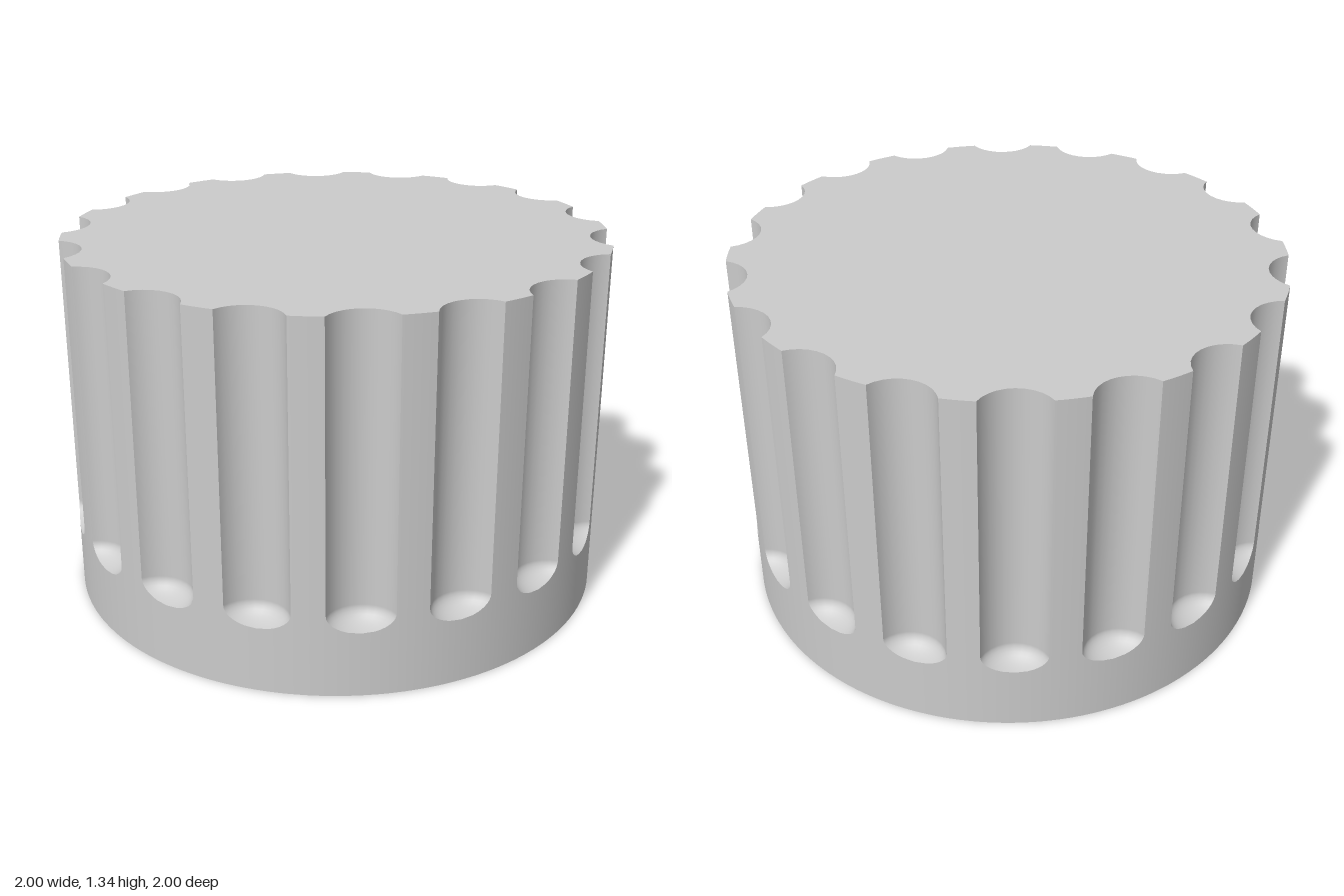
import * as THREE from 'three';
import { mergeGeometries } from 'three/addons/utils/BufferGeometryUtils.js';

const COUNT = 18, STEP = (2 * Math.PI) / COUNT;
const TOP = 1.335;              // knob height, outer radius is 1
const C = 1.0534, R = 0.1314;   // flute axis distance and flute radius
const END = 0.305, RY = 0.0711; // height where the rounded flute end starts, and its depth
const T_MAX = Math.acos((C - 1) / R);
const ROWS = 8, ARC = 10;

// Angle at which a flute section of radius rho meets the outer wall
const rimAngle = (rho) => Math.acos(Math.min(1, (1 + C * C - rho * rho) / (2 * C)));
const EDGE = rimAngle(R);

// Surface from rows (downwards) and columns (left to right); fn gives [position, normal]
function grid(rows, cols, fn) {
  const pos = [], nor = [], idx = [];
  for (let i = 0; i <= rows; i++) {
    for (let j = 0; j <= cols; j++) {
      const [p, n] = fn(i, j);
      pos.push(...p);
      nor.push(...new THREE.Vector3(...n).normalize().toArray());
      if (i < rows && j < cols) {
        const a = i * (cols + 1) + j, b = a + cols + 1;
        idx.push(a, b, a + 1, b, b + 1, a + 1);
      }
    }
  }
  const g = new THREE.BufferGeometry();
  g.setAttribute('position', new THREE.Float32BufferAttribute(pos, 3));
  g.setAttribute('normal', new THREE.Float32BufferAttribute(nor, 3));
  g.setIndex(idx);
  return g;
}

const wallPoint = (a, y) => [[Math.sin(a), y, Math.cos(a)], [Math.sin(a), 0, Math.cos(a)]];

// Point across a flute section, u from -1 to 1
function arcPoint(rho, u) {
  const a = rimAngle(rho);
  const b = u * Math.atan2(Math.sin(a), C - Math.cos(a));
  return [rho * Math.sin(b), C - rho * Math.cos(b)];
}

// Repeat a geometry around the knob
function around(geometry) {
  const copies = [];
  for (let k = 0; k < COUNT; k++) copies.push(geometry.clone().rotateY(k * STEP));
  return mergeGeometries(copies);
}

export function createModel() {
  const group = new THREE.Group();
  const material = new THREE.MeshStandardMaterial({ color: 0xcccccc });
  const add = (name, geometry) => {
    const mesh = new THREE.Mesh(geometry, material);
    mesh.name = name;
    group.add(mesh);
    return mesh;
  };

  // Flute: straight channel with a scooped lower end
  const flute = grid(ROWS + 1, ARC, (i, j) => {
    const t = (Math.max(0, i - 1) / ROWS) * T_MAX;
    const [x, z] = arcPoint(R * Math.cos(t), (2 * j) / ARC - 1);
    const drop = RY * Math.sin(t);
    const y = i === 0 ? TOP : END - drop;
    return [[x, y, z], [-x / R ** 2, drop / RY ** 2, (C - z) / R ** 2]];
  });
  add('flutes', around(flute));

  // Ribs: full-height wall between two flutes
  const rib = grid(1, 6, (i, j) =>
    wallPoint(EDGE + ((STEP - 2 * EDGE) * j) / 6, i ? 0 : TOP));
  add('ribs', around(rib));

  // Skirt: wall below each flute, its top following the rounded end
  const skirt = grid(1, 2 * ROWS, (i, j) => {
    const t = (1 - Math.abs(j - ROWS) / ROWS) * T_MAX;
    const a = Math.sign(j - ROWS) * rimAngle(R * Math.cos(t));
    return wallPoint(a, i ? 0 : END - RY * Math.sin(t));
  });
  add('skirt', around(skirt));

  // Top face with the scalloped outline
  const outline = [];
  for (let k = 0; k < COUNT; k++) {
    const turn = (x, z) => new THREE.Vector2(x, -z).rotateAround(new THREE.Vector2(), k * STEP);
    for (let j = 0; j <= ARC; j++) outline.push(turn(...arcPoint(R, (2 * j) / ARC - 1)));
    for (let j = 1; j < 6; j++) {
      const a = EDGE + ((STEP - 2 * EDGE) * j) / 6;
      outline.push(turn(Math.sin(a), Math.cos(a)));
    }
  }
  const topFace = add('topFace', new THREE.ShapeGeometry(new THREE.Shape(outline)));
  topFace.rotation.x = -Math.PI / 2;
  topFace.position.y = TOP;

  // Flat underside
  const base = add('base', new THREE.CircleGeometry(1, 144));
  base.rotation.x = Math.PI / 2;

  return group;
}
